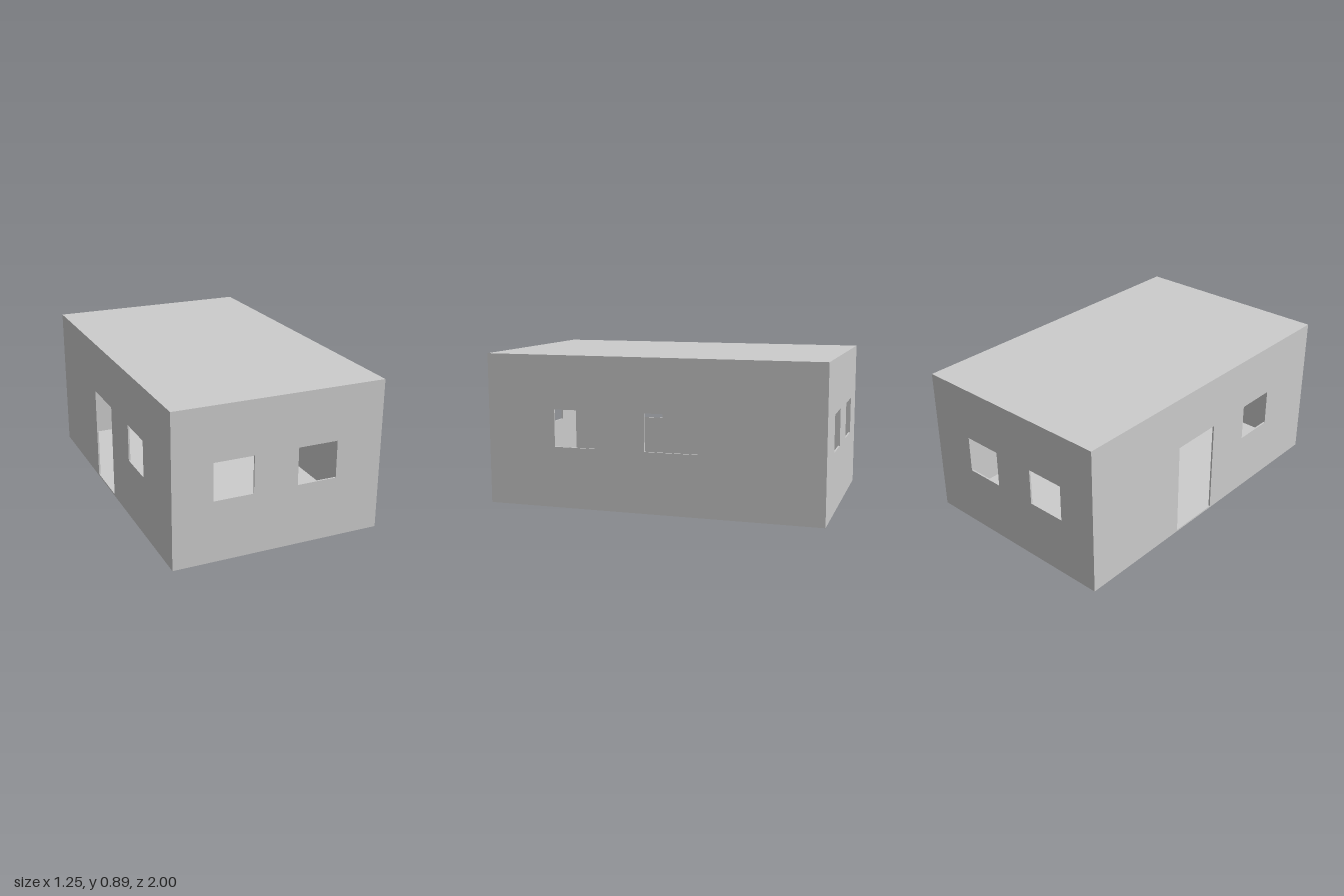
import * as THREE from 'three';

const W = 1.25, H = 0.895, D = 2, T = 0.01; // outer size and wall thickness
const SILL = 0.36, HEAD = 0.58;             // window bottom, shared top of windows and door

export function createModel() {
  const group = new THREE.Group();
  const material = new THREE.MeshStandardMaterial({ color: 0xcccccc, flatShading: true });

  const add = (name, geometry, x, y, z, turn = 0) => {
    const mesh = new THREE.Mesh(geometry, material);
    mesh.name = name;
    mesh.position.set(x, y, z);
    mesh.rotation.y = turn;
    group.add(mesh);
  };

  // Wall panel between floor and roof, with window holes and an optional door notch
  const wall = (width, windows, door) => {
    const h = width / 2, top = H - T;
    const outline = [[-h, T]];
    if (door) outline.push([door[0], T], [door[0], HEAD], [door[1], HEAD], [door[1], T]);
    outline.push([h, T], [h, top], [-h, top]);
    const shape = new THREE.Shape(outline.map(([x, y]) => new THREE.Vector2(x, y)));
    for (const [a, b] of windows) {
      shape.holes.push(new THREE.Path([
        new THREE.Vector2(a, SILL), new THREE.Vector2(a, HEAD),
        new THREE.Vector2(b, HEAD), new THREE.Vector2(b, SILL),
      ]));
    }
    return new THREE.ExtrudeGeometry(shape, { depth: T, bevelEnabled: false });
  };

  // Floor and flat roof
  add('floor', new THREE.BoxGeometry(W, T, D), 0, T / 2, 0);
  add('roof', new THREE.BoxGeometry(W, T, D), 0, H - T / 2, 0);

  // End walls, two windows each
  const endWindows = [[-0.39, -0.155], [0.108, 0.345]];
  add('frontWall', wall(W, endWindows), 0, 0, D / 2 - T);
  add('backWall', wall(W, endWindows), 0, 0, -D / 2);

  // Long walls, fitted between the end walls; the panel's x runs toward -z
  const sideLength = D - 2 * T, frontWindow = [-0.58, -0.33];
  add('leftWall', wall(sideLength, [frontWindow, [-0.03, 0.285]]), W / 2 - T, 0, 0, Math.PI / 2);
  add('rightWallWithDoor', wall(sideLength, [frontWindow], [-0.03, 0.29]), -W / 2, 0, 0, Math.PI / 2);

  return group;
}
